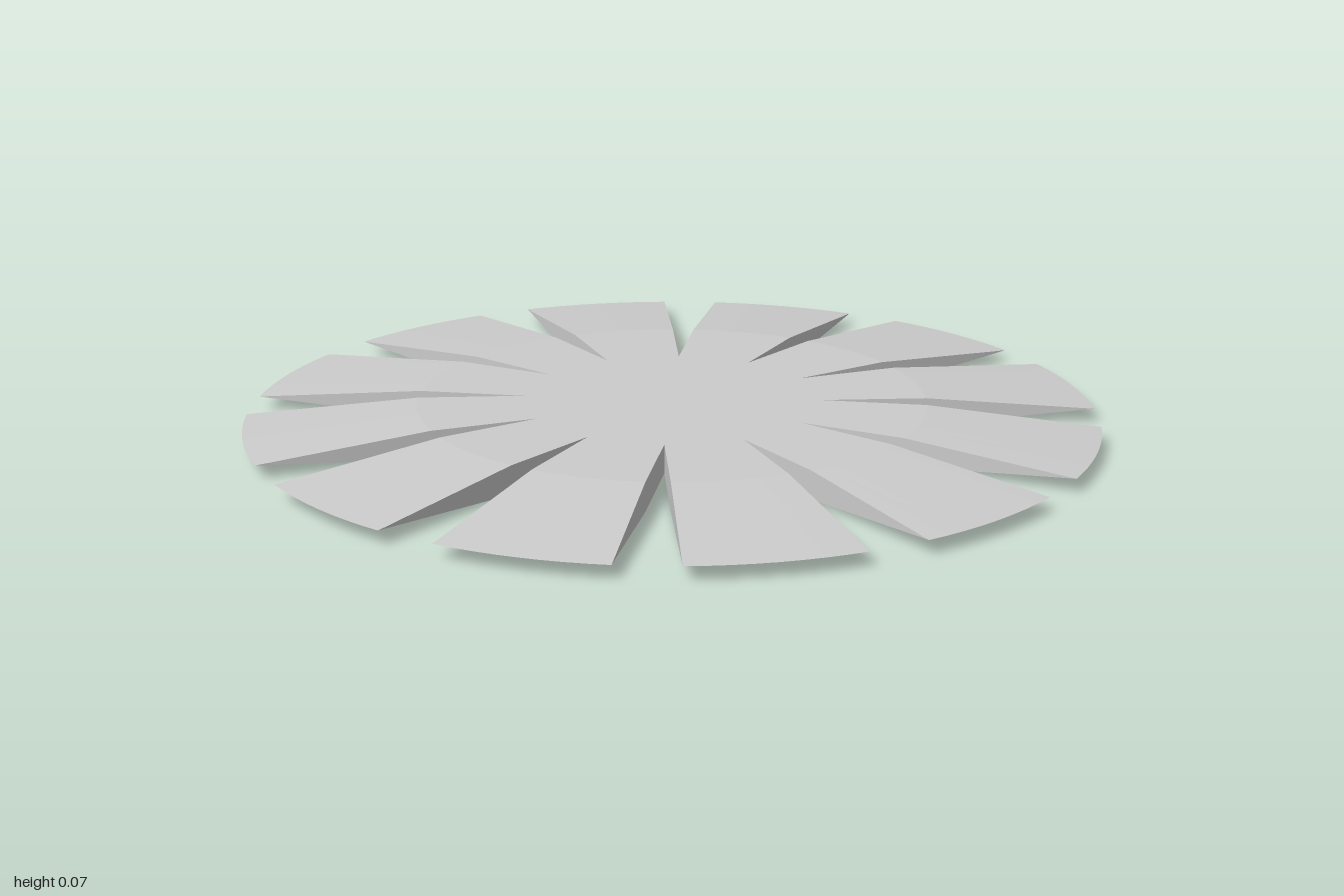
import * as THREE from 'three';

const TEETH = 12, STEPS = 8;
const R = 1.0024, FLAT = 0.6, ROOT = 0.35, HALF = 0.0335;
const PITCH = Math.PI * 2 / TEETH;
const SLOT = 0.07;                        // half-width of a slot at the rim

// Angle between a slot's centreline and its straight wall at radius r
function slotAngle(r) {
  if (r <= ROOT) return 0;
  const len = Math.sqrt(R * R - SLOT * SLOT) - ROOT;
  const k = SLOT / len;
  // solve (ROOT + s)^2 + (k s)^2 = r^2
  const a = 1 + k * k, b = 2 * ROOT, c = ROOT * ROOT - r * r;
  const s = (-b + Math.sqrt(b * b - 4 * a * c)) / (2 * a);
  return Math.atan2(k * s, ROOT + s);
}

// One tooth with its wedge of the hub: flat to FLAT, then tapering to a sharp rim
function toothGeometry() {
  const pos = [];
  const tri = (...pts) => pts.forEach(p => pos.push(...p));
  const quad = (a, b, c, d) => { tri(a, b, c); tri(a, c, d); };
  const rows = [0, ROOT, FLAT, R];
  const at = (j, i, side) => {
    const r = rows[j], a0 = slotAngle(r);
    const a = a0 + (PITCH - 2 * a0) * i / STEPS;
    const h = j === 3 ? 0 : HALF * side;
    return [r * Math.sin(a), HALF + h, r * Math.cos(a)];
  };
  for (let i = 0; i < STEPS; i++) {
    // hub wedge
    tri(at(0, 0, 1), at(1, i, 1), at(1, i + 1, 1));
    tri(at(0, 0, -1), at(1, i + 1, -1), at(1, i, -1));
    // flat band and tapered band, top and bottom
    for (let j = 1; j < 3; j++) {
      quad(at(j, i, 1), at(j + 1, i, 1), at(j + 1, i + 1, 1), at(j, i + 1, 1));
      quad(at(j, i, -1), at(j, i + 1, -1), at(j + 1, i + 1, -1), at(j + 1, i, -1));
    }
  }
  // slot walls on both flanks
  const n = STEPS;
  quad(at(1, n, -1), at(1, n, 1), at(2, n, 1), at(2, n, -1));
  tri(at(2, n, -1), at(2, n, 1), at(3, n, 1));
  quad(at(1, 0, -1), at(2, 0, -1), at(2, 0, 1), at(1, 0, 1));
  tri(at(2, 0, -1), at(3, 0, 1), at(2, 0, 1));

  const g = new THREE.BufferGeometry();
  g.setAttribute('position', new THREE.Float32BufferAttribute(pos, 3));
  g.computeVertexNormals();
  return g;
}

export function createModel() {
  const group = new THREE.Group();
  group.name = 'slottedDisc';
  const material = new THREE.MeshStandardMaterial({ color: 0xcccccc });
  const geometry = toothGeometry();
  for (let t = 0; t < TEETH; t++) {
    const tooth = new THREE.Mesh(geometry, material);
    tooth.name = `tooth${t + 1}`;
    tooth.rotation.y = t * PITCH;
    group.add(tooth);
  }
  return group;
}
